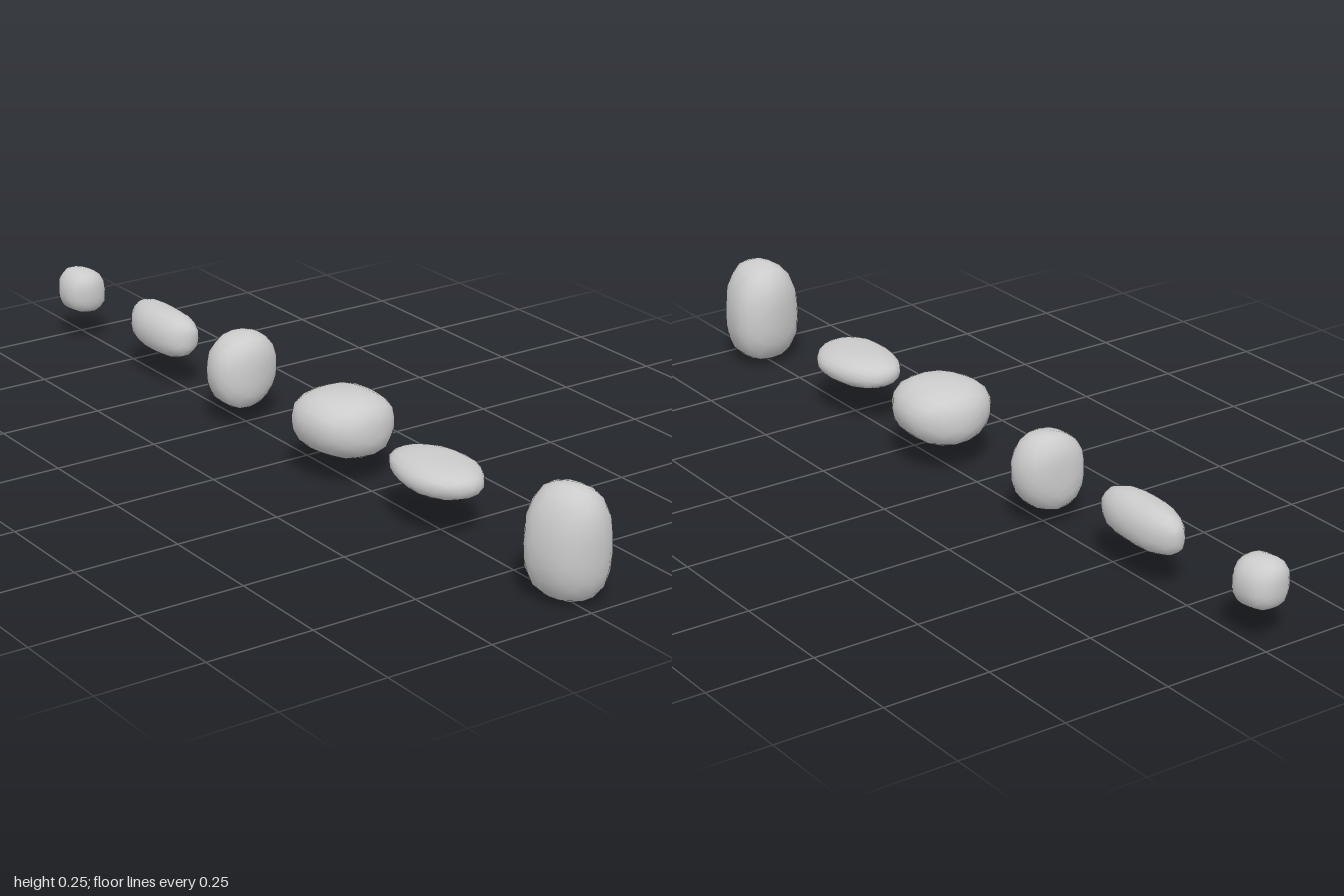
import * as THREE from 'three';
import { mergeVertices } from 'three/addons/utils/BufferGeometryUtils.js';

const material = new THREE.MeshStandardMaterial({ color: 0xcccccc });

// Rounded stone filling the box min..max. "square" boxes its side outline,
// "taper" narrows its front, "seed" shifts the gentle lumps.
function createPebble({ min, max, square, taper, seed }) {
  const geometry = new THREE.IcosahedronGeometry(1, 3);
  geometry.deleteAttribute('normal');
  geometry.deleteAttribute('uv');
  const merged = mergeVertices(geometry, 1e-4);
  const position = merged.attributes.position;
  const p = new THREE.Vector3();
  for (let i = 0; i < position.count; i++) {
    p.fromBufferAttribute(position, i).normalize();
    const side = Math.pow(Math.abs(p.y) ** square + Math.abs(p.z) ** square, 1 / square);
    const lump = 1 + 0.025 * Math.sin(3 * p.x + 2 * p.y + seed) + 0.025 * Math.sin(4 * p.z - 3 * p.x + seed * 2.3);
    p.multiplyScalar(lump / Math.pow(Math.abs(p.x) ** 2.2 + side ** 2.2, 1 / 2.2));
    p.x *= 1 - taper * p.z;
    position.setXYZ(i, p.x, p.y, p.z);
  }

  // Fit the lumpy stone to its box
  merged.computeBoundingBox();
  const size = merged.boundingBox.getSize(new THREE.Vector3());
  const middle = merged.boundingBox.getCenter(new THREE.Vector3());
  const low = new THREE.Vector3(...min);
  const high = new THREE.Vector3(...max);
  const scale = high.clone().sub(low).divide(size);
  merged.translate(-middle.x, -middle.y, -middle.z);
  merged.scale(scale.x, scale.y, scale.z);
  merged.computeVertexNormals();

  const mesh = new THREE.Mesh(merged, material);
  mesh.position.copy(low).add(high).multiplyScalar(0.5);
  return mesh;
}

export function createModel() {
  const model = new THREE.Group();
  model.name = 'pebbleRow';

  // Stones from front to back
  const pebbles = [
    { name: 'tallPebble', min: [-0.08, 0, 0.83], max: [0.092, 0.255, 1], square: 3, taper: 0.12, seed: 0.4 },
    { name: 'flatPebble', min: [-0.087, 0.09, 0.36], max: [0.085, 0.165, 0.61], square: 2.7, taper: -0.06, seed: 1.7 },
    { name: 'widePebble', min: [-0.108, 0.058, 0.03], max: [0.107, 0.205, 0.25], square: 2.8, taper: 0, seed: 2.9 },
    { name: 'uprightPebble', min: [-0.09, 0.038, -0.32], max: [0.079, 0.22, -0.195], square: 3, taper: 0, seed: 4.1 },
    { name: 'longPebble', min: [-0.066, 0.075, -0.712], max: [0.045, 0.185, -0.472], square: 3, taper: -0.05, seed: 5.2 },
    { name: 'smallPebble', min: [-0.081, 0.073, -1], max: [0.026, 0.186, -0.888], square: 3.2, taper: 0, seed: 0.9 },
  ];
  for (const spec of pebbles) {
    const pebble = createPebble(spec);
    pebble.name = spec.name;
    model.add(pebble);
  }
  return model;
}
